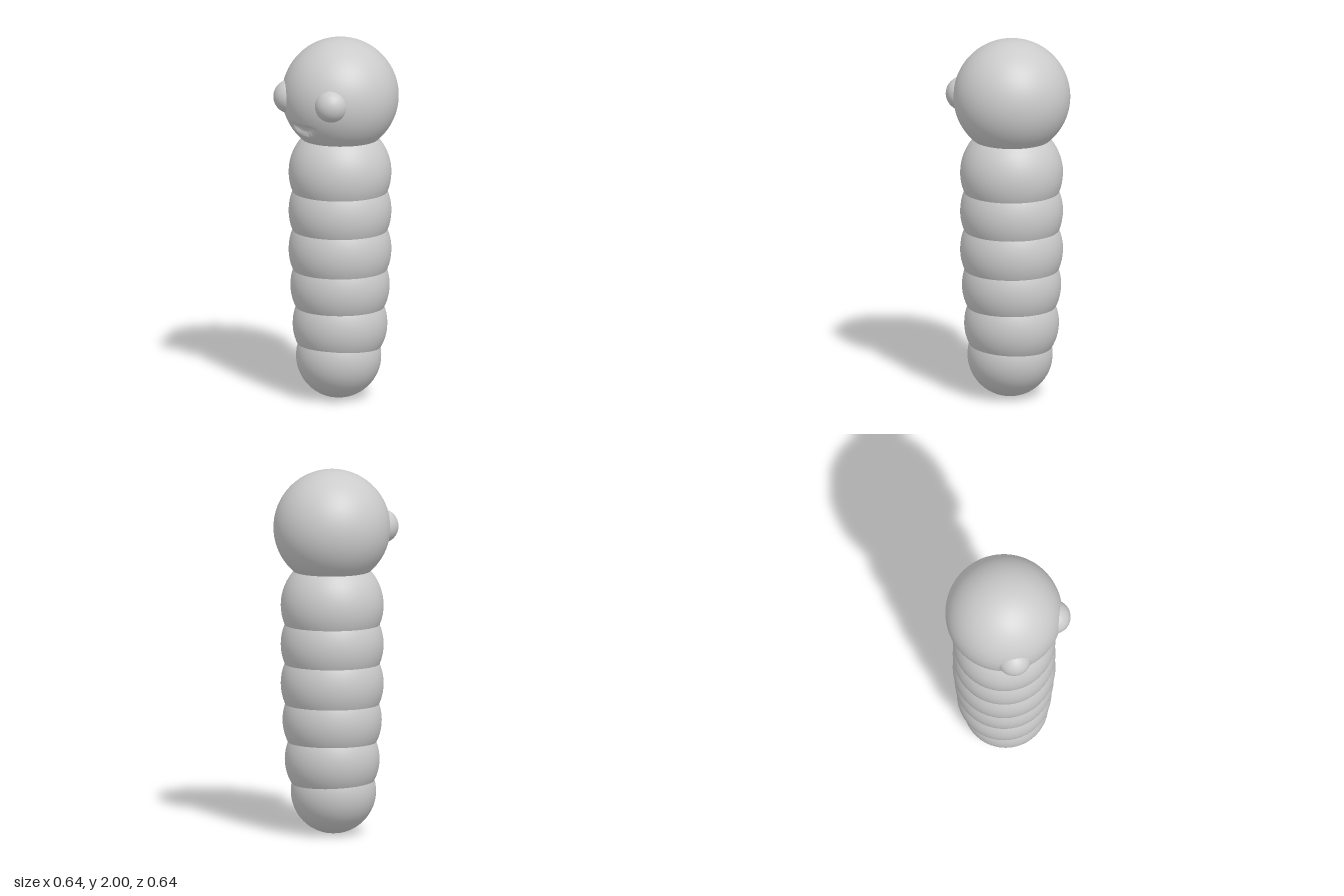
import * as THREE from 'three';

const material = new THREE.MeshStandardMaterial({ color: 0xcccccc, roughness: 0.8 });

function ball(name, radius, x, y, z, w = 32, h = 24) {
  const mesh = new THREE.Mesh(new THREE.SphereGeometry(radius, w, h), material);
  mesh.name = name;
  mesh.position.set(x, y, z);
  return mesh;
}

// Presses a shallow curved mouth into the -x side of the head
function carveMouth(geometry) {
  const p = geometry.attributes.position;
  const v = new THREE.Vector3();
  for (let i = 0; i < p.count; i++) {
    v.fromBufferAttribute(p, i);
    if (v.x > 0) continue;
    const across = (v.z + 0.03) / 0.09;
    const middle = -0.155 + 0.02 * across * across;
    const up = (v.y - middle) / 0.03;
    const d = across * across + up * up;
    if (d >= 1) continue;
    v.multiplyScalar(1 - 0.07 * Math.sqrt(1 - d));
    p.setXYZ(i, v.x, v.y, v.z);
  }
  geometry.computeVertexNormals();
}

export function createModel() {
  const model = new THREE.Group();
  model.name = 'caterpillar';

  // Body segments, bottom to top: radius, x, y
  const segments = [
    [0.232, -0.011, 0.232],
    [0.258, 0, 0.41],
    [0.27, 0, 0.625],
    [0.28, 0, 0.825],
    [0.28, 0, 1.04],
    [0.28, 0, 1.255],
  ];
  segments.forEach(([r, x, y], i) => model.add(ball(`bodySegment${i + 1}`, r, x, y, 0, 48, 32)));

  // Head with mouth
  const head = ball('head', 0.318, 0.002, 1.682, 0, 128, 96);
  carveMouth(head.geometry);
  model.add(head);

  // Eyes
  model.add(ball('leftEye', 0.093, -0.203, 1.682, -0.181));
  model.add(ball('rightEye', 0.093, -0.23, 1.685, 0.142));

  return model;
}
